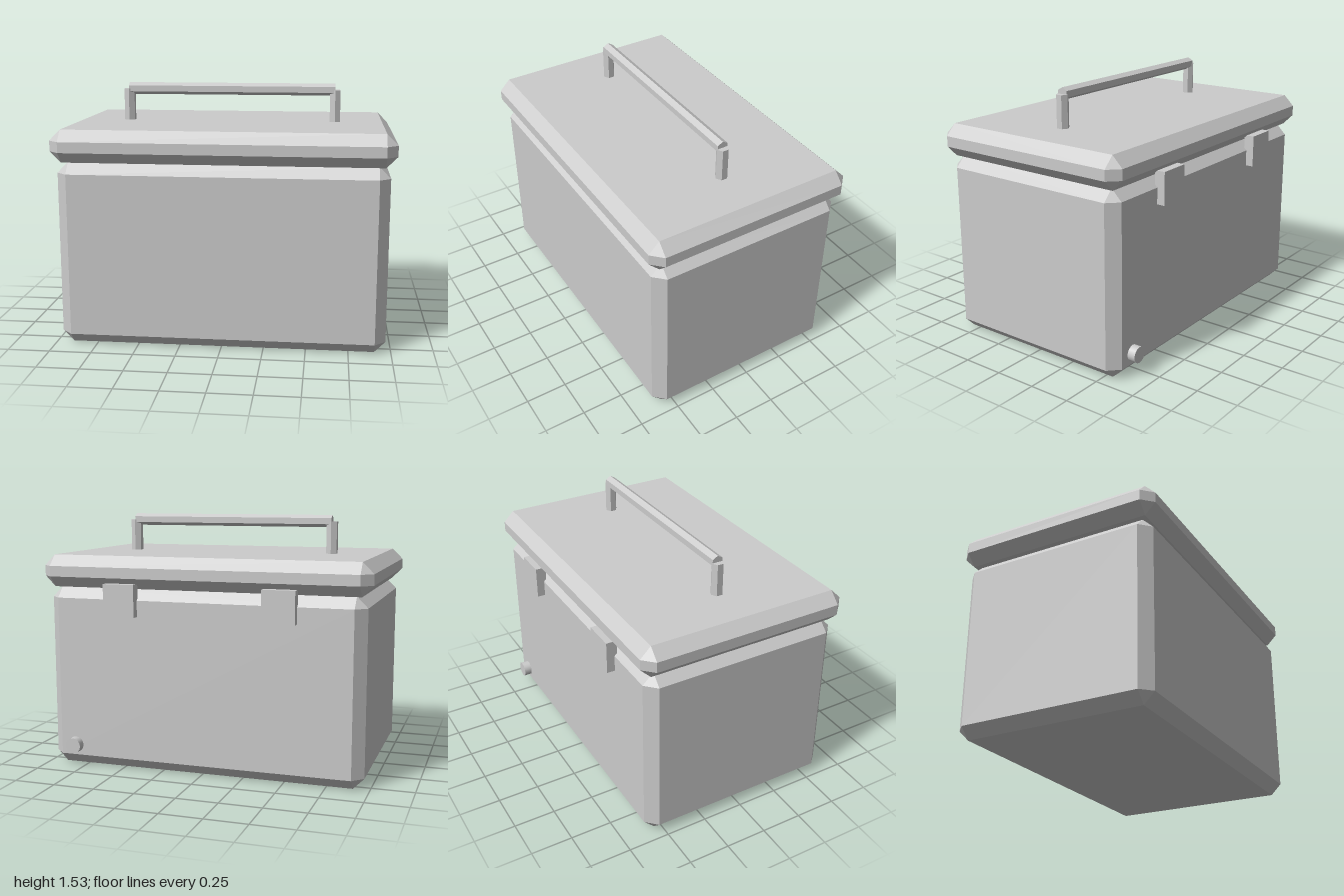
import * as THREE from 'three';
import { ConvexGeometry } from 'three/addons/geometries/ConvexGeometry.js';

const CZ = 0.008; // depth centre of body, lid and handle

// Box with 45 degree chamfers on all edges and cut corners
function chamferBox(w, h, d, b) {
  const pts = [];
  for (const sx of [-1, 1]) for (const sy of [-1, 1]) for (const sz of [-1, 1]) {
    for (let axis = 0; axis < 3; axis++) {
      const inset = [b, b, b];
      inset[axis] = 0;
      pts.push(new THREE.Vector3(
        sx * (w / 2 - inset[0]),
        sy * (h / 2 - inset[1]),
        sz * (d / 2 - inset[2])
      ));
    }
  }
  return new ConvexGeometry(pts);
}

export function createModel() {
  const group = new THREE.Group();
  const grey = new THREE.MeshStandardMaterial({ color: 0xcccccc });
  grey.name = 'grey';

  const add = (name, geometry, x, y, z) => {
    // Split faces so every facet stays crisp
    const geo = geometry.index ? geometry.toNonIndexed() : geometry;
    if (name !== 'drainPlug') geo.computeVertexNormals();
    const mesh = new THREE.Mesh(geo, grey);
    mesh.name = name;
    mesh.position.set(x, y, z);
    group.add(mesh);
    return mesh;
  };

  // Chest body and overhanging lid
  add('body', chamferBox(1.934, 1.1, 1.228, 0.065), 0, 0.55, CZ);
  add('lid', chamferBox(2, 0.193, 1.292, 0.065), 0, 1.1965, CZ);

  // Hexagonal carry handle on the lid
  const bar = new THREE.CylinderGeometry(0.037, 0.037, 1.29, 6);
  bar.rotateX(Math.PI / 2).rotateY(Math.PI / 2);
  add('handleBar', bar, 0, 1.49, CZ);

  // Mirrored handle posts and rear hinges
  for (const s of [-1, 1]) {
    add('handlePost', new THREE.CylinderGeometry(0.037, 0.037, 0.2, 6), s * 0.645, 1.388, CZ);
    add('hinge', new THREE.BoxGeometry(0.194, 0.193, 0.064), s * 0.484, 1.035, -0.622);
  }

  // Drain plug low on the back
  const plug = new THREE.CylinderGeometry(0.048, 0.048, 0.064, 16);
  plug.rotateX(Math.PI / 2);
  add('drainPlug', plug, 0.806, 0.13, -0.622);

  return group;
}
